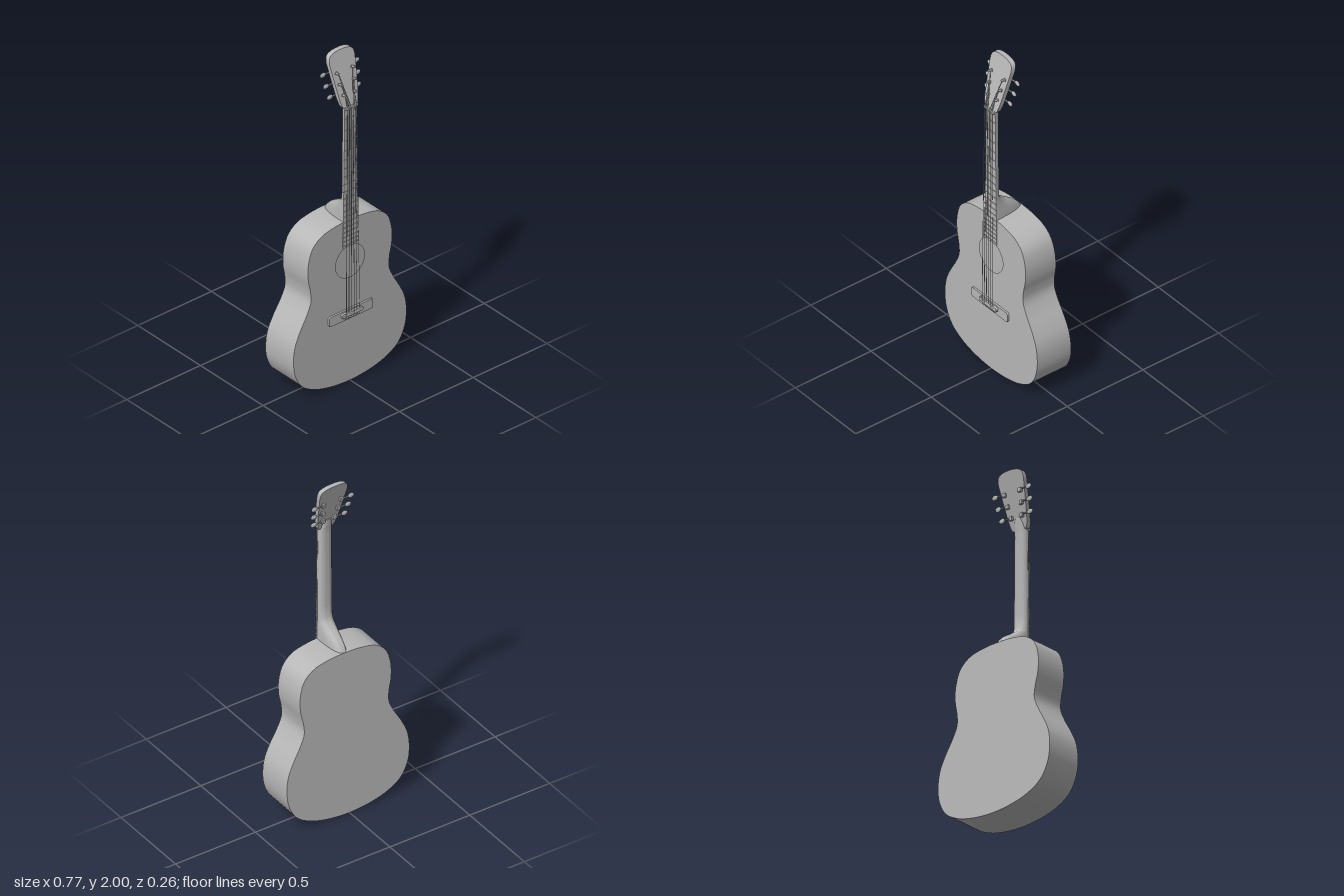
import * as THREE from 'three';
import { toCreasedNormals } from 'three/addons/utils/BufferGeometryUtils.js';

const grey = new THREE.MeshStandardMaterial({ color: 0xb8b8b8 });
grey.name = 'plain grey';

const FRONT = 0.105, NUT = 1.69, SADDLE = 0.42;
const headFront = y => 0.112 - 0.27 * (y - NUT);

// Closed symmetric shape from a smooth half outline running top to bottom
function mirroredShape(half, steps) {
  const full = [...half, ...half.slice(1, -1).reverse().map(([x, y]) => [-x, y])];
  const curve = new THREE.CatmullRomCurve3(full.map(([x, y]) => new THREE.Vector3(x, y, 0)), true);
  return new THREE.Shape(curve.getPoints(steps).slice(0, -1).map(p => new THREE.Vector2(p.x, p.y)));
}

// Extrude from z0 to z1, optionally moving the vertices by a rule z = rule(y, z)
function slab(shape, z0, z1, rule) {
  const g = new THREE.ExtrudeGeometry(shape, { depth: z1 - z0, bevelEnabled: false, curveSegments: 24 });
  g.translate(0, 0, z0);
  const p = g.attributes.position;
  if (rule) for (let i = 0; i < p.count; i++) p.setZ(i, rule(p.getY(i), p.getZ(i)));
  return toCreasedNormals(g, 0.6);
}

// D-shaped cross-sections [y, front z, back z, half width], flat to the front
function neckLoft(rows) {
  const n = 20, out = [];
  const rings = rows.map(([y, zf, zb, w]) => Array.from({ length: n + 1 }, (_, i) => {
    const a = Math.PI * i / n, s = Math.sin(a), c = Math.cos(a);
    return [w * Math.sign(c) * Math.abs(c) ** 0.85, y, zf - (zf - zb) * Math.max(s, 0) ** 0.8];
  }));
  for (let j = 0; j < rings.length - 1; j++) {
    for (let i = 0; i <= n; i++) {
      const k = (i + 1) % (n + 1);
      const a = rings[j][i], b = rings[j][k], c = rings[j + 1][k], d = rings[j + 1][i];
      out.push(...a, ...b, ...c, ...a, ...c, ...d);
    }
  }
  const lo = rings[0], hi = rings[rings.length - 1];
  for (let i = 1; i < n; i++) {
    out.push(...hi[0], ...hi[i], ...hi[i + 1], ...lo[0], ...lo[i + 1], ...lo[i]);
  }
  const g = new THREE.BufferGeometry();
  g.setAttribute('position', new THREE.Float32BufferAttribute(out, 3));
  return toCreasedNormals(g, 0.8);
}

function roundedRect(w, h, r, cy) {
  const s = new THREE.Shape();
  s.absarc(w / 2 - r, cy + h / 2 - r, r, 0, Math.PI / 2);
  s.absarc(-w / 2 + r, cy + h / 2 - r, r, Math.PI / 2, Math.PI);
  s.absarc(-w / 2 + r, cy - h / 2 + r, r, Math.PI, Math.PI * 1.5);
  s.absarc(w / 2 - r, cy - h / 2 + r, r, Math.PI * 1.5, Math.PI * 2);
  return s;
}

export function createModel() {
  const guitar = new THREE.Group();
  guitar.name = 'guitar';

  const add = (name, geometry, x = 0, y = 0, z = 0) => {
    const m = new THREE.Mesh(geometry, grey);
    m.name = name;
    m.position.set(x, y, z);
    guitar.add(m);
    return m;
  };
  const rod = (name, a, b, r, sides = 6) => {
    const d = new THREE.Vector3().subVectors(b, a);
    const m = add(name, new THREE.CylinderGeometry(r, r, d.length(), sides));
    m.position.copy(a).addScaledVector(d, 0.5);
    m.quaternion.setFromUnitVectors(new THREE.Vector3(0, 1, 0), d.normalize());
    return m;
  };
  const v = (x, y, z) => new THREE.Vector3(x, y, z);

  // Body: deeper at the bottom, with a top plate holding the sound hole
  const outline = [[0, 0.99], [0.1, 0.985], [0.195, 0.962], [0.255, 0.91], [0.283, 0.82],
    [0.283, 0.73], [0.268, 0.655], [0.265, 0.59], [0.293, 0.52], [0.338, 0.44], [0.372, 0.36],
    [0.383, 0.27], [0.371, 0.18], [0.325, 0.096], [0.24, 0.043], [0.13, 0.013], [0, 0.002]];
  add('body', slab(mirroredShape(outline, 120), -0.13, 0.09,
    (y, z) => (z < 0 ? -0.13 + 0.045 * y : z)));
  const top = mirroredShape(outline, 120);
  top.holes.push(new THREE.Path().absarc(0, 0.735, 0.098, 0, Math.PI * 2, true));
  add('topPlate', slab(top, 0.09, FRONT));

  // Neck with its heel, running up behind the headstock
  add('neck', neckLoft([
    [0.985, 0.104, -0.086, 0.045], [1.01, 0.104, -0.069, 0.045], [1.037, 0.104, -0.042, 0.044],
    [1.07, 0.104, 0.01, 0.044], [1.1, 0.104, 0.053, 0.043], [1.13, 0.104, 0.069, 0.043],
    [1.2, 0.104, 0.071, 0.043], [1.66, 0.104, 0.073, 0.039], [1.69, 0.1, 0.07, 0.038],
    [1.72, 0.095, 0.064, 0.033], [1.75, 0.085, 0.062, 0.022],
  ]));

  // Fingerboard, tapered towards the nut
  const boardWidth = y => 0.05 - 0.011 * (y - 0.83) / (NUT - 0.83);
  const board = new THREE.Shape([[-0.05, 0.83], [0.05, 0.83], [0.039, NUT], [-0.039, NUT]]
    .map(([x, y]) => new THREE.Vector2(x, y)));
  add('fingerboard', slab(board, 0.102, 0.109));
  for (let n = 1; n <= 19; n++) {
    const y = SADDLE + (NUT - SADDLE) * 2 ** (-n / 12);
    add('fret', new THREE.BoxGeometry(boardWidth(y) * 2 + 0.004, 0.005, 0.006), 0, y, 0.109);
  }
  add('nut', new THREE.BoxGeometry(0.082, 0.012, 0.03), 0, NUT, 0.108);

  // Headstock, leaning back
  const head = mirroredShape([[0, 2], [0.045, 1.996], [0.076, 1.982], [0.085, 1.955], [0.081, 1.9],
    [0.068, 1.79], [0.058, 1.725], [0.045, 1.692], [0, 1.688]], 64);
  add('headstock', slab(head, -0.028, 0, (y, z) => z + headFront(y)));

  // Tuners: post, shaft and button on each side
  const posts = [[0.036, 1.762], [0.047, 1.825], [0.054, 1.888]];
  for (const side of [1, -1]) {
    for (const [px, y] of posts) {
      const zf = headFront(y), zb = zf - 0.036, x = side * px;
      rod('tunerPost', v(x, y - 0.009, zb - 0.004), v(x, y + 0.006, zf + 0.022), 0.006, 12);
      add('tunerCollar', new THREE.CylinderGeometry(0.01, 0.01, 0.005, 12), x, y, zf + 0.001)
        .rotation.x = Math.PI / 2 - 0.26;
      add('tunerGear', new THREE.BoxGeometry(0.02, 0.022, 0.014), x, y - 0.006, zb + 0.003);
      rod('tunerShaft', v(x, y - 0.004, zb), v(side * 0.1, y - 0.004, zb), 0.004, 8);
      add('tunerButton', new THREE.SphereGeometry(1, 14, 10), side * (0.06 + px), y - 0.004, zb)
        .scale.set(0.02, 0.015, 0.007);
    }
  }

  // Bridge, saddle and pins
  add('bridge', slab(roundedRect(0.296, 0.058, 0.01, 0.42), 0.103, 0.116));
  add('saddle', slab(roundedRect(0.14, 0.024, 0.006, 0.428), 0.114, 0.129));

  // Strings from the bridge pins over the nut to the posts
  for (let i = 0; i < 6; i++) {
    const t = (i - 2.5) / 2.5, side = Math.sign(t), r = 0.0016 - 0.0004 * t;
    const [px, py] = posts[i < 3 ? i : 5 - i];
    const pin = v(t * 0.045, 0.402, 0.118);
    const saddle = v(t * 0.045, 0.428, 0.129), nut = v(t * 0.031, NUT, 0.123);
    add('bridgePin', new THREE.SphereGeometry(0.006, 10, 8), pin.x, pin.y, pin.z);
    rod('string', pin, saddle, r);
    rod('string', saddle, nut, r);
    rod('string', nut, v(side * (px - 0.005), py, headFront(py) + 0.012), r);
  }
  return guitar;
}
